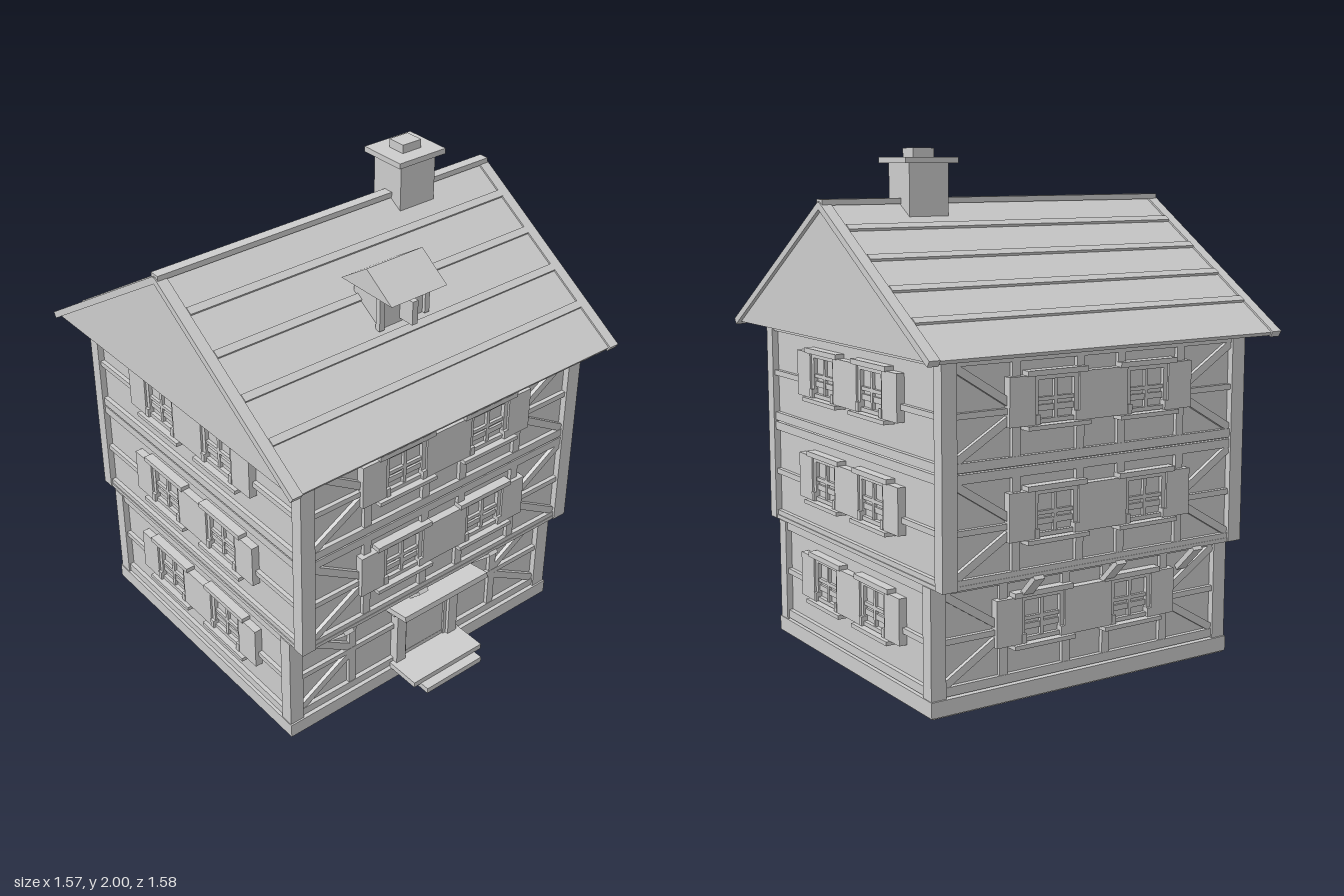
import * as THREE from 'three';

const ZC = -0.01; // middle of the house in depth
const stone = new THREE.MeshStandardMaterial({ color: 0xcccccc });
stone.name = 'plain grey';

// Box given by its centre and size
function box(parent, name, x, y, z, w, h, d) {
  const m = new THREE.Mesh(new THREE.BoxGeometry(w, h, d), stone);
  m.name = name;
  m.position.set(x, y, z);
  parent.add(m);
  return m;
}

function group(parent, name) {
  const g = new THREE.Group();
  g.name = name;
  parent.add(g);
  return g;
}

// Triangular prism with its ridge along x
function prism(parent, name, width, halfDepth, y0, y1, z) {
  const s = new THREE.Shape();
  s.moveTo(-halfDepth, y0);
  s.lineTo(halfDepth, y0);
  s.lineTo(0, y1);
  const geo = new THREE.ExtrudeGeometry(s, { depth: width, bevelEnabled: false });
  geo.translate(0, 0, -width / 2);
  geo.rotateY(Math.PI / 2);
  const m = new THREE.Mesh(geo, stone);
  m.name = name;
  m.position.z = z;
  parent.add(m);
}

// Timber from one point to another on a wall
function timber(parent, x0, y0, x1, y1, z) {
  const b = box(parent, 'brace', (x0 + x1) / 2, (y0 + y1) / 2, z,
    Math.hypot(x1 - x0, y1 - y0), 0.03, 0.018);
  b.rotation.z = Math.atan2(y1 - y0, x1 - x0);
}

// Window with four panes, shutters, lintel and sill; z is the wall face
function addWindow(parent, x, y, z) {
  const g = group(parent, 'window');
  g.position.set(x, y, z);
  box(g, 'glass', 0, 0, 0.004, 0.18, 0.18, 0.008);
  for (const s of [-1, 1]) {
    box(g, 'frameSide', s * 0.087, 0, 0.012, 0.018, 0.17, 0.024);
    box(g, 'frameRail', 0, s * 0.078, 0.012, 0.16, 0.016, 0.024);
    box(g, 'shutter', s * 0.151, 0, 0.016, 0.11, 0.178, 0.032);
    box(g, 'sillBracket', s * 0.087, -0.07, 0.02, 0.02, 0.035, 0.03);
  }
  box(g, 'mullion', 0, 0, 0.01, 0.014, 0.16, 0.02);
  box(g, 'transom', 0, 0, 0.01, 0.16, 0.014, 0.02);
  box(g, 'lintel', 0, 0.096, 0.019, 0.262, 0.02, 0.038);
  box(g, 'sill', 0, -0.097, 0.024, 0.272, 0.016, 0.048);
}

// Timbered face of one storey, looking along +z at distance d
function addFace(parent, y0, y1, d, half, o) {
  const g = group(parent, 'storeyFace');
  const wall = d - 0.025, mid = (y0 + y1) / 2 - 0.005;
  const zt = wall + 0.007;
  const h = y1 - y0;
  box(g, 'bottomBeam', 0, y0 + 0.017, zt, half * 2, 0.034, 0.022);
  box(g, 'topBeam', 0, y1 - 0.018, zt, half * 2, 0.034, 0.022);
  box(g, 'middleRail', 0, mid, zt, half * 2, 0.022, 0.02);
  if (o.braced) {
    for (const x of [-0.372, -0.093, 0.093, 0.372]) {
      if (o.door && Math.abs(x) < 0.2) continue;
      box(g, 'stud', x, (y0 + y1) / 2, zt, 0.034, h - 0.06, 0.018);
    }
    for (const s of [-1, 1]) {
      timber(g, s * 0.62, y1 - 0.04, s * 0.385, mid + 0.02, zt);
      timber(g, s * 0.62, y0 + 0.04, s * 0.385, mid - 0.02, zt);
    }
  }
  if (!o.door) for (const s of [-1, 1]) addWindow(g, s * o.spread, (y0 + y1) / 2 + 0.027, wall);
  return g;
}

// Doorway with posts, lintel, canopy and steps
function addDoorway(house) {
  const g = group(house, 'doorway');
  box(g, 'door', 0, 0.21, 0.582, 0.24, 0.28, 0.02);
  for (const s of [-1, 1]) {
    box(g, 'doorPost', s * 0.138, 0.215, 0.592, 0.046, 0.27, 0.045);
    box(g, 'doorFrame', s * 0.108, 0.215, 0.585, 0.015, 0.27, 0.03);
  }
  box(g, 'doorLintel', 0, 0.365, 0.594, 0.366, 0.034, 0.05);
  const canopy = box(g, 'canopy', 0, 0.409, 0.645, 0.43, 0.024, 0.15);
  canopy.rotation.x = -0.16;
  box(g, 'upperStep', 0, 0.077, 0.67, 0.36, 0.024, 0.15);
  box(g, 'lowerStep', 0, 0.055, 0.74, 0.29, 0.024, 0.09);
}

function addRoof(house) {
  const g = group(house, 'roof');
  const run = 0.77, y0 = 1.298, y1 = 1.79;
  prism(g, 'roofBody', 1.54, run - 0.008, y0, y1, ZC);
  const a = Math.atan2(y1 - y0, run);
  const len = Math.hypot(run, y1 - y0);
  for (const s of [1, -1]) {
    const slope = group(g, 'roofSlope');
    slope.position.set(0, (y0 + y1) / 2, ZC + s * run / 2);
    slope.rotation.order = 'YXZ';
    slope.rotation.set(a, s > 0 ? 0 : Math.PI, 0);
    box(slope, 'covering', 0, 0, 0, 1.54, 0.016, len);
    for (const k of [-1, 1]) box(slope, 'bargeBoard', k * 0.763, 0.002, 0, 0.044, 0.026, len + 0.01);
    for (const z of [0.135, 0.29, 0.445, 0.597]) {
      box(slope, 'courseStrip', 0, 0.011, (z - run / 2) / Math.cos(a), 1.482, 0.016, 0.03);
    }
  }
  box(g, 'ridgeCap', 0, 1.803, ZC, 1.56, 0.022, 0.042);
}

function addChimney(house) {
  const g = group(house, 'chimney');
  g.position.set(0.364, 0, -0.016);
  box(g, 'stack', 0, 1.845, 0, 0.17, 0.21, 0.155);
  box(g, 'cap', 0, 1.955, 0, 0.228, 0.022, 0.205);
  box(g, 'pot', 0, 1.983, 0, 0.09, 0.034, 0.078);
}

function addDormer(house) {
  const g = group(house, 'dormer');
  box(g, 'dormerBody', 0, 1.6, 0.33, 0.21, 0.15, 0.15);
  for (const s of [-1, 1]) box(g, 'dormerPost', s * 0.108, 1.6, 0.408, 0.022, 0.13, 0.022);
  box(g, 'hoistBoard', 0, 1.597, 0.44, 0.026, 0.096, 0.07);
  prism(g, 'dormerRoof', 0.262, 0.141, 1.675, 1.77, 0.355);
}

export function createModel() {
  const house = new THREE.Group();
  house.name = 'timberHouse';

  // Plinth and wall cores
  box(house, 'plinth', 0, 0.036, ZC, 1.374, 0.06, 1.234);
  box(house, 'plinthFoot', 0, 0.005, ZC, 1.36, 0.01, 1.22);
  box(house, 'groundCore', 0, 0.275, ZC, 1.316, 0.41, 1.17);
  box(house, 'upperCore', 0, 0.893, ZC, 1.316, 0.81, 1.33);
  box(house, 'jettyFloor', 0, 0.487, ZC, 1.36, 0.016, 1.37);

  // Corner posts
  for (const x of [-1, 1]) for (const z of [-1, 1]) {
    box(house, 'groundPost', x * 0.653, 0.272, ZC + z * 0.582, 0.062, 0.416, 0.056);
    box(house, 'upperPost', x * 0.653, 0.89, ZC + z * 0.665, 0.062, 0.82, 0.052);
  }

  // Four sides of three storeys
  const storeys = [[0.07, 0.481, 0.61], [0.481, 0.89, 0.69], [0.895, 1.3, 0.69]];
  for (let side = 0; side < 4; side++) {
    const g = group(house, ['front', 'left', 'back', 'right'][side] + 'Wall');
    g.position.z = ZC;
    g.rotation.y = side * Math.PI / 2;
    const gable = side % 2 === 1;
    storeys.forEach(([y0, y1, depth], i) => {
      addFace(g, y0, y1, gable ? 0.683 : depth, gable ? depth - 0.045 : 0.63, {
        braced: !gable, door: side === 0 && i === 0, spread: gable ? 0.19 : 0.205,
      });
    });
    // Struts below the overhang
    if (!gable) for (const x of [-0.465, -0.093, 0.279]) {
      const strut = box(g, 'jettyStrut', side ? -x : x, 0.43, 0.64, 0.045, 0.14, 0.02);
      strut.rotation.x = Math.PI / 4;
    }
  }

  addDoorway(house);
  addRoof(house);
  addChimney(house);
  addDormer(house);
  return house;
}
